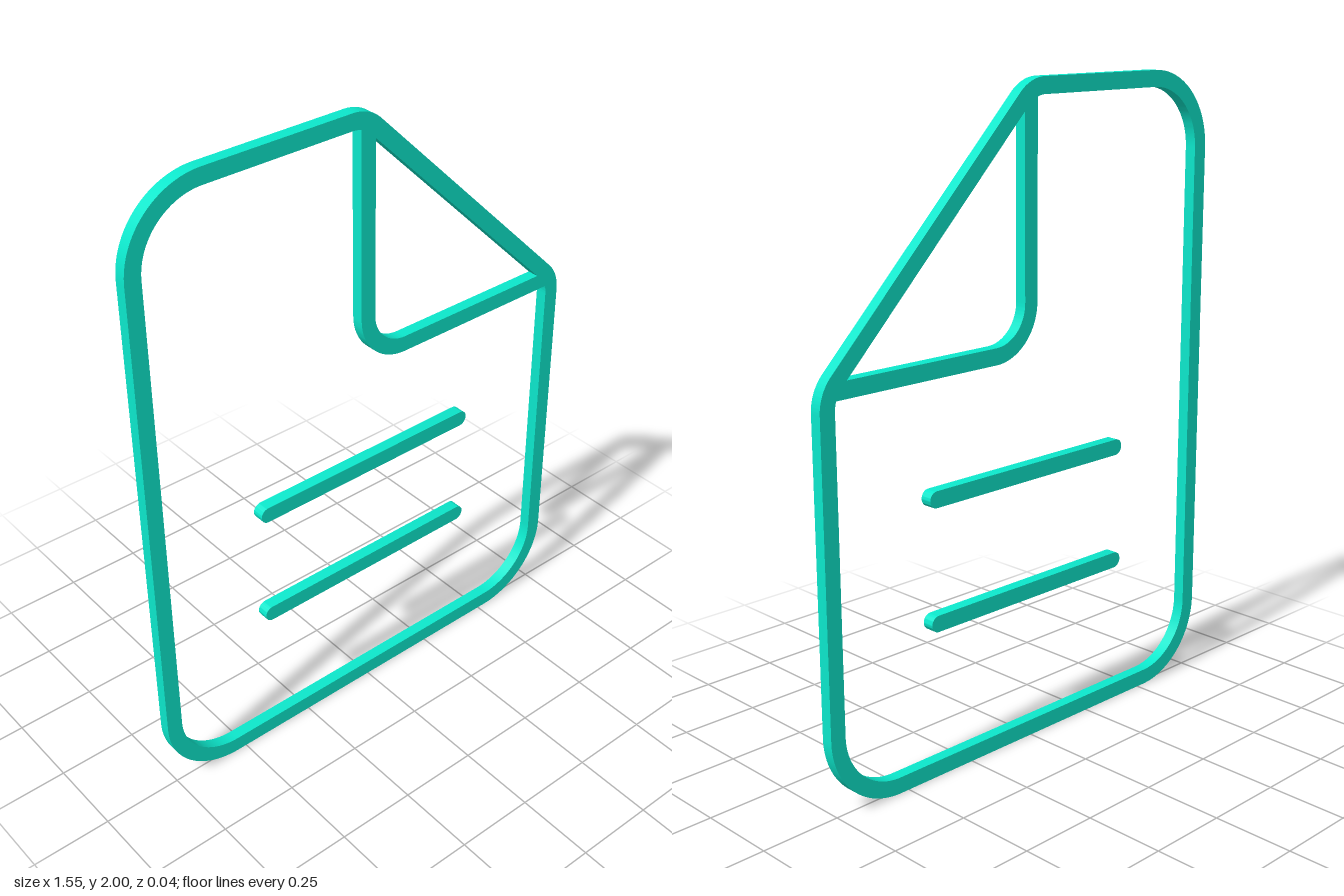
import * as THREE from 'three';
import { toCreasedNormals } from 'three/addons/utils/BufferGeometryUtils.js';

const DEPTH = 0.037, HALF = 0.025; // plate thickness, half the stroke width
const PI = Math.PI;

// Page outline with rounded corners and a cut corner; inset shrinks it evenly.
function pageOutline(PathType, inset) {
  const r = 0.245 - inset, cut = 0.14 - inset;
  const p = new PathType();
  p.absarc(-0.53, 0.245, r, PI, 1.5 * PI, false);
  p.absarc(0.53, 0.245, r, -PI / 2, 0, false);
  p.absarc(0.635, 1.17, cut, 0, PI / 4, false);
  p.absarc(-0.055, 1.86, cut, PI / 4, PI / 2, false);
  p.absarc(-0.53, 1.755, r, PI / 2, PI, false);
  p.closePath();
  return p;
}

// Folded corner: an L-shaped stroke with a rounded bend, ends buried in the frame.
function foldOutline() {
  const cx = 0.14, cy = 1.365, r = 0.14;
  const s = new THREE.Shape();
  s.moveTo(-HALF, 1.96);
  s.lineTo(-HALF, cy);
  s.absarc(cx, cy, r + HALF, PI, 1.5 * PI, false);
  s.lineTo(0.735, cy - r - HALF);
  s.lineTo(0.735, cy - r + HALF);
  s.absarc(cx, cy, r - HALF, 1.5 * PI, PI, true);
  s.lineTo(HALF, 1.96);
  s.closePath();
  return s;
}

// Round-ended horizontal stroke.
function lineOutline(y) {
  const s = new THREE.Shape();
  s.absarc(0.375, y, HALF, -PI / 2, PI / 2, false);
  s.absarc(-0.375, y, HALF, PI / 2, 1.5 * PI, false);
  s.closePath();
  return s;
}

export function createModel() {
  const group = new THREE.Group();
  group.name = 'documentIcon';
  const material = new THREE.MeshStandardMaterial({ color: 0x0ce8cc });

  const add = (name, shape) => {
    const geo = new THREE.ExtrudeGeometry(shape, { depth: DEPTH, bevelEnabled: false, curveSegments: 16 });
    geo.translate(0, 0, -DEPTH / 2);
    const mesh = new THREE.Mesh(toCreasedNormals(geo, 0.6), material);
    mesh.name = name;
    group.add(mesh);
  };

  // Page frame
  const frame = pageOutline(THREE.Shape, 0);
  frame.holes.push(pageOutline(THREE.Path, 2 * HALF));
  add('pageFrame', frame);

  // Folded corner
  add('cornerFold', foldOutline());

  // Text lines
  add('upperLine', lineOutline(0.852));
  add('lowerLine', lineOutline(0.478));

  return group;
}
